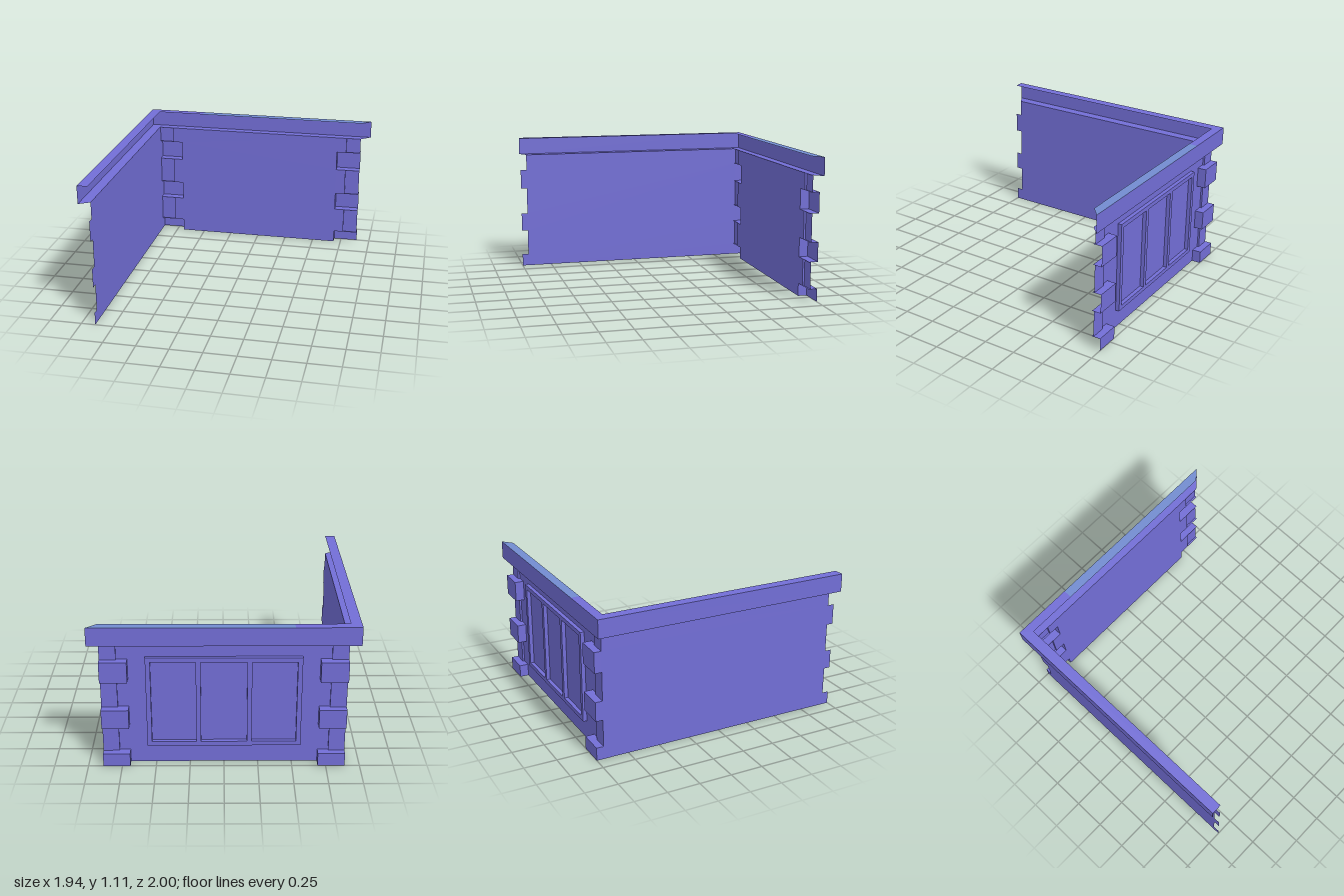
import * as THREE from 'three';

export function createModel() {
  const root = new THREE.Group();
  const purple = new THREE.MeshStandardMaterial({ color: 0x726ed6, side: THREE.DoubleSide });
  purple.name = 'violet';
  const blue = new THREE.MeshStandardMaterial({ color: 0x728cd0, side: THREE.DoubleSide });
  blue.name = 'dusty blue';

  const add = (name, geo, mat = purple, parent = root) => {
    const m = new THREE.Mesh(geo, mat);
    m.name = name;
    parent.add(m);
    return m;
  };
  // flat four-cornered sheet
  const quad = (a, b, c, d) => {
    const g = new THREE.BufferGeometry();
    g.setAttribute('position', new THREE.Float32BufferAttribute([...a, ...b, ...c, ...d], 3));
    g.setIndex([0, 1, 2, 0, 2, 3]);
    g.computeVertexNormals();
    return g;
  };
  const outline = (pts) => new THREE.ShapeGeometry(new THREE.Shape(pts.map(([x, y]) => new THREE.Vector2(x, y))));

  const H = 0.97, TOP = 1.11;
  const W = 0.89, OUT = 0.97;         // wall and cornice half widths
  const ZP = -0.93, ZC = -0.945, ZB = -1; // panel, pilaster and block planes
  const rows = [[0, 0.1], [0.31, 0.46], [0.68, 0.84]];
  const gaps = [[0.1, 0.31], [0.46, 0.68], [0.84, H]];

  // toothed edge: reaches one position at block rows and another between them
  const edge = (atBlock, between) => {
    const pts = [];
    rows.forEach(([y0, y1], i) => {
      pts.push([atBlock, y0], [atBlock, y1], [between, gaps[i][0]], [between, gaps[i][1]]);
    });
    return pts;
  };

  // back wall, cut away behind the corner blocks
  add('backWall', outline([...edge(0.69, 0.77), ...edge(-0.69, -0.77).reverse()])).position.z = ZP;

  // side wall with teeth closing the block ends
  const side = outline([...edge(1, 0.95), ...edge(ZB, ZC).reverse()]);
  side.rotateY(-Math.PI / 2);
  add('sideWall', side).position.x = -W;

  // pilasters and hollow corner blocks
  for (const s of [-1, 1]) {
    const corner = new THREE.Group();
    corner.name = s < 0 ? 'innerCornerQuoins' : 'endQuoins';
    root.add(corner);
    const i = s * 0.69, p = s * 0.77, o = s * W;
    for (const [y0, y1] of gaps) {
      add('pilaster', quad([p, y0, ZC], [p, y1, ZC], [o, y1, ZC], [o, y0, ZC]), purple, corner);
      add('pilasterStep', quad([p, y0, ZP], [p, y1, ZP], [p, y1, ZC], [p, y0, ZC]), purple, corner);
    }
    for (const [y0, y1] of rows) {
      add('blockFace', quad([i, y0, ZB], [i, y1, ZB], [o, y1, ZB], [o, y0, ZB]), purple, corner);
      add('blockSide', quad([i, y0, ZP], [i, y1, ZP], [i, y1, ZB], [i, y0, ZB]), purple, corner);
      for (const y of y0 > 0 ? [y0, y1] : [y1]) {
        add('blockLedge', quad([i, y, ZP], [o, y, ZP], [o, y, ZB], [i, y, ZB]), purple, corner);
      }
    }
  }

  // cornice: open channel of face, soffit and top rim along both walls
  const cornice = new THREE.Group();
  cornice.name = 'cornice';
  root.add(cornice);
  add('backFace', quad([-OUT, H, ZB], [-OUT, TOP, ZB], [OUT, TOP, ZB], [OUT, H, ZB]), purple, cornice);
  add('sideFace', quad([-OUT, H, 1], [-OUT, TOP, 1], [-OUT, TOP, ZB], [-OUT, H, ZB]), purple, cornice);
  add('backSoffit', quad([-OUT, H, ZB], [OUT, H, ZB], [W, H, ZP], [-W, H, ZP]), purple, cornice);
  add('sideSoffit', quad([-OUT, H, ZB], [-W, H, ZP], [-W, H, 0.95], [-OUT, H, 1]), purple, cornice);
  add('sideRim', quad([-OUT, TOP, ZB], [-OUT, TOP, 1], [-W, TOP, 1], [-W, TOP, ZP]), purple, cornice);
  const split = -0.5;
  add('backRimNearCorner', quad([-OUT, TOP, ZB], [-W, TOP, ZP], [split, TOP, ZP], [split, TOP, ZB]), purple, cornice);
  add('backRim', quad([split, TOP, ZB], [split, TOP, ZP], [W, TOP, ZP], [OUT, TOP, ZB]), blue, cornice);

  // three-light window frame on the outside of the back wall
  const frame = new THREE.Group();
  frame.name = 'windowFrame';
  root.add(frame);
  const bar = (name, w, h, x, y) => {
    add(name, new THREE.BoxGeometry(w, h, 0.03), purple, frame).position.set(x, y, ZP - 0.016);
  };
  for (const x of [-0.545, -0.185, 0.185, 0.545]) bar('upright', 0.035, 0.71, x, 0.505);
  for (const y of [0.167, 0.843]) bar('rail', 1.125, 0.034, 0, y);

  return root;
}
